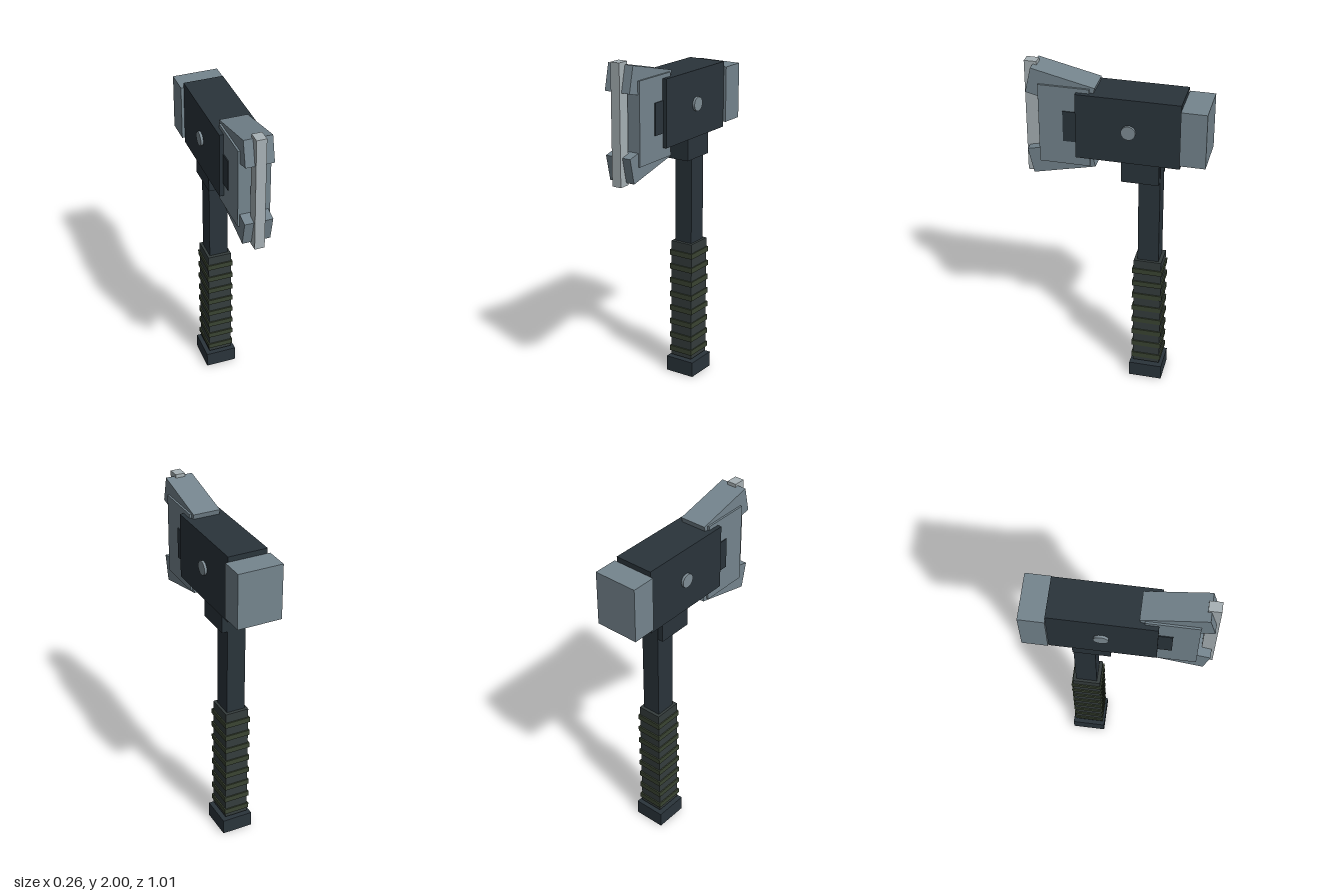
import * as THREE from 'three';

const paint = (color) => new THREE.MeshStandardMaterial({ color, flatShading: true });

export function createModel() {
  const model = new THREE.Group();
  const dark = paint(0x2a343b);
  const steel = paint(0x75858e);
  const bright = paint(0xa8b2b6);
  const rubber = paint(0x353d3d);
  const olive = paint(0x3a4432);

  // Box centred on x, given half width and its y and z ranges
  function block(name, material, halfX, y0, y1, z0, z1) {
    const mesh = new THREE.Mesh(new THREE.BoxGeometry(2 * halfX, y1 - y0, z1 - z0), material);
    mesh.name = name;
    mesh.position.set(0, (y0 + y1) / 2, (z0 + z1) / 2);
    model.add(mesh);
    return mesh;
  }

  // Handle
  block('pommel', dark, 0.092, 0, 0.092, -0.288, -0.093);
  block('grip', rubber, 0.07, 0.105, 0.835, -0.27, -0.11);
  for (let i = 0; i < 8; i++) {
    const y = 0.148 + i * 0.088;
    block('gripRing', olive, 0.077, y - 0.016, y + 0.016, -0.278, -0.102);
  }
  block('shaft', dark, 0.055, 0.82, 1.52, -0.251, -0.13);
  block('collar', dark, 0.088, 1.36, 1.51, -0.249, -0.04);

  // Head and hammer face
  block('head', dark, 0.114, 1.495, 1.875, -0.367, 0.208);
  block('hammerFace', steel, 0.13, 1.525, 1.845, -0.508, -0.367);

  // Pin through the head
  const pin = new THREE.Mesh(new THREE.CylinderGeometry(0.04, 0.04, 0.256, 24), paint(0x7f8d95));
  pin.material.flatShading = false;
  pin.name = 'pin';
  pin.rotation.z = Math.PI / 2;
  pin.position.set(0, 1.685, -0.085);
  model.add(pin);

  // Axe blade
  block('bladeMount', dark, 0.095, 1.577, 1.757, 0.1, 0.283);
  block('bladeCheek', steel, 0.09, 1.435, 1.898, 0.135, 0.418);
  block('cuttingEdge', bright, 0.028, 1.333, 2.0, 0.438, 0.507);

  // Slanted arms that carry the edge, mirrored about the blade's middle
  for (const side of [1, -1]) {
    const y = 1.667 + side * 0.205;
    const arm = block('bladeArm', steel, 0.079, y - 0.074, y + 0.074, 0.119, 0.479);
    arm.rotation.x = -side * 0.227;
  }

  return model;
}
